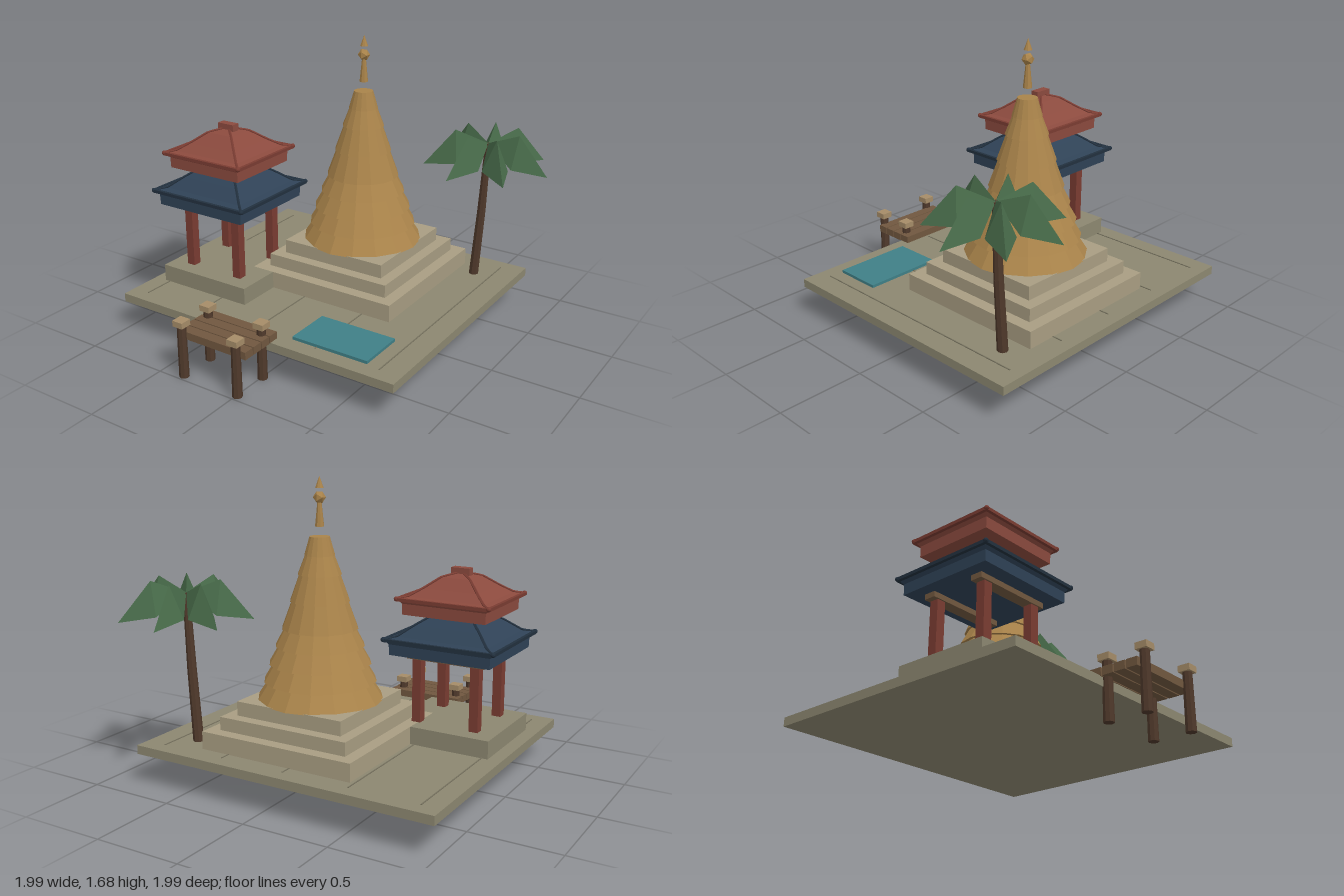
import * as THREE from 'three';

const mat = (color, side = THREE.FrontSide) =>
  new THREE.MeshStandardMaterial({ color, flatShading: true, side });
const M = {
  ground: mat(0x8c8770), joint: mat(0x77725f), stone: mat(0xa89d82), gold: mat(0xa9834a),
  red: mat(0x8b4a3e), post: mat(0x7a3c32), blue: mat(0x2f4256), darkBlue: mat(0x22303e),
  bark: mat(0x4f392b), wood: mat(0x70573f), cap: mat(0xa58c68), water: mat(0x3f7f86),
  leaf: mat(0x476a49, THREE.DoubleSide),
};

function add(parent, name, geometry, material, x = 0, y = 0, z = 0) {
  const mesh = new THREE.Mesh(geometry, material);
  mesh.name = name;
  mesh.position.set(x, y, z);
  parent.add(mesh);
  return mesh;
}

// Box given by its extents on each axis
function slab(parent, name, material, [x0, x1], [y0, y1], [z0, z1]) {
  return add(parent, name, new THREE.BoxGeometry(x1 - x0, y1 - y0, z1 - z0), material,
    (x0 + x1) / 2, (y0 + y1) / 2, (z0 + z1) / 2);
}

function group(parent, name, x = 0, z = 0) {
  const g = new THREE.Group();
  g.name = name;
  g.position.set(x, 0, z);
  parent.add(g);
  return g;
}

// Tapered round section between two heights
function frustum(parent, name, material, y0, y1, r0, r1, sides) {
  return add(parent, name, new THREE.CylinderGeometry(r1, r0, y1 - y0, sides), material, 0, (y0 + y1) / 2);
}

function buildCourtyard(root) {
  const g = group(root, 'courtyard');
  slab(g, 'groundSlab', M.ground, [-1, 0.81], [0.175, 0.225], [-0.87, 0.74]);
  for (const x of [-0.89, -0.49, -0.1, 0.29, 0.68])
    slab(g, 'pavingJoint', M.joint, [x - 0.003, x + 0.003], [0.22, 0.229], [-0.79, 0.66]);
  slab(g, 'pool', M.water, [0.135, 0.6], [0.225, 0.242], [0.365, 0.645]);
}

function buildStupa(root) {
  const g = group(root, 'stupa', 0, -0.265);
  // Stepped plinth
  [[0.465, 0.225, 0.325], [0.395, 0.32, 0.4], [0.328, 0.4, 0.48]].forEach(([h, y0, y1]) =>
    slab(g, 'plinthStep', M.stone, [-h, h], [y0, y1], [-h, h]));
  // Overlapping tapered rings
  const rings = [[0.475, 0.35, 0.285], [0.575, 0.312, 0.255], [0.672, 0.282, 0.226], [0.77, 0.246, 0.195],
    [0.866, 0.21, 0.155], [1.016, 0.164, 0.112], [1.162, 0.12, 0.08], [1.265, 0.084, 0.055], [1.365]];
  for (let i = 0; i < rings.length - 1; i++)
    frustum(g, 'bellRing', M.gold, rings[i][0], rings[i + 1][0], rings[i][1], rings[i][2], 16);
  // Finial
  frustum(g, 'finialStem', M.gold, 1.418, 1.545, 0.025, 0.012, 8);
  add(g, 'finialBall', new THREE.IcosahedronGeometry(0.035, 0), M.gold, 0, 1.573, 0);
  frustum(g, 'finialTip', M.gold, 1.622, 1.685, 0.023, 0, 8);
}

// Four-sided roof from a half-width profile, with hip ribs, eave rails and corner knobs
function buildRoof(parent, name, profile, eave, roofMat, trimMat) {
  const g = group(parent, name);
  const depth = 0.95;
  const points = profile.map(([h, y]) => new THREE.Vector2(h * Math.SQRT2, y));
  const shell = add(g, 'roofShell', new THREE.LatheGeometry(points, 4, Math.PI / 4), roofMat);
  shell.scale.z = depth;
  const [h, y] = profile[eave];
  for (const sx of [-1, 1]) {
    for (const sz of [-1, 1]) {
      const path = new THREE.CurvePath();
      const hip = profile.slice(eave).map(([r, py]) => new THREE.Vector3(sx * r, py, sz * r * depth));
      for (let i = 0; i < hip.length - 1; i++) path.add(new THREE.LineCurve3(hip[i], hip[i + 1]));
      add(g, 'hipRib', new THREE.TubeGeometry(path, 16, 0.008, 5), trimMat);
      add(g, 'cornerKnob', new THREE.IcosahedronGeometry(0.014, 1), trimMat, sx * h, y, sz * h * depth);
    }
    slab(g, 'eaveRail', trimMat, [sx * h - 0.009, sx * h + 0.009], [y - 0.012, y + 0.006], [-h * depth, h * depth]);
    const z = sx * h * depth;
    slab(g, 'eaveRail', trimMat, [-h, h], [y - 0.012, y + 0.006], [z - 0.009, z + 0.009]);
  }
}

function buildPavilion(root) {
  const g = group(root, 'pavilion', -0.625, 0.195);
  slab(g, 'pavilionBase', M.ground, [-0.3, 0.3], [0.225, 0.325], [-0.277, 0.277]);
  for (const z of [-0.16, 0.16]) {
    for (const x of [-0.172, 0.172])
      slab(g, 'pillar', M.post, [x - 0.026, x + 0.026], [0.325, 0.69], [z - 0.026, z + 0.026]);
    slab(g, 'lintel', M.wood, [-0.23, 0.23], [0.685, 0.72], [z - 0.034, z + 0.034]);
  }
  buildRoof(g, 'lowerRoof', [[0, 0.715], [0.295, 0.715], [0.297, 0.775], [0.32, 0.803], [0.265, 0.815],
    [0.19, 0.875], [0.11, 0.93], [0, 0.955]], 3, M.blue, M.darkBlue);
  buildRoof(g, 'upperRoof', [[0, 0.937], [0.243, 0.937], [0.245, 0.998], [0.268, 1.026], [0.22, 1.036],
    [0.16, 1.077], [0.085, 1.135], [0, 1.16]], 3, M.red, M.post);
  slab(g, 'ridgeBlock', M.red, [-0.054, 0.054], [1.135, 1.185], [-0.025, 0.025]);
}

function buildDock(root) {
  const g = group(root, 'dock');
  for (const x of [-0.355, 0.01])
    for (const z of [0.75, 0.965]) {
      add(g, 'dockPost', new THREE.CylinderGeometry(0.025, 0.028, 0.31, 8), M.bark, x, 0.155, z);
      slab(g, 'postCap', M.cap, [x - 0.033, x + 0.033], [0.306, 0.34], [z - 0.033, z + 0.033]);
    }
  for (let i = 0; i < 4; i++)
    slab(g, 'plank', M.wood, [-0.4, 0.06], [0.222, 0.266], [0.682 + i * 0.069, 0.744 + i * 0.069]);
}

function buildPalm(root) {
  const g = group(root, 'palm', 0, -0.635);
  // Leaning trunk
  const joints = [[0.57, 0.222, 0.03], [0.6, 0.64, 0.026], [0.621, 1.06, 0.02]];
  const up = new THREE.Vector3(0, 1, 0);
  for (let i = 0; i < joints.length - 1; i++) {
    const [x0, y0, r0] = joints[i], [x1, y1, r1] = joints[i + 1];
    const dir = new THREE.Vector3(x1 - x0, y1 - y0, 0);
    const part = add(g, 'trunk', new THREE.CylinderGeometry(r1, r0, dir.length(), 8), M.bark, (x0 + x1) / 2, (y0 + y1) / 2);
    part.quaternion.setFromUnitVectors(up, dir.normalize());
  }
  // Folded leaf: raised spine with two drooping halves
  const leaf = new THREE.BufferGeometry();
  leaf.setAttribute('position', new THREE.Float32BufferAttribute([
    0, 0, 0, 0.19, 0.075, 0, 0.37, -0.14, 0, 0.18, -0.11, 0.075, 0.18, -0.11, -0.075], 3));
  leaf.setIndex([0, 3, 1, 1, 3, 2, 0, 1, 4, 1, 2, 4]);
  leaf.computeVertexNormals();
  for (let i = 0; i < 7; i++)
    add(g, 'frond', leaf, M.leaf, 0.621, 1.06, 0).rotation.y = (i / 7) * Math.PI * 2;
}

export function createModel() {
  const root = new THREE.Group();
  root.name = 'templeCourtyard';
  buildCourtyard(root);
  buildStupa(root);
  buildPavilion(root);
  buildDock(root);
  buildPalm(root);
  return root;
}
